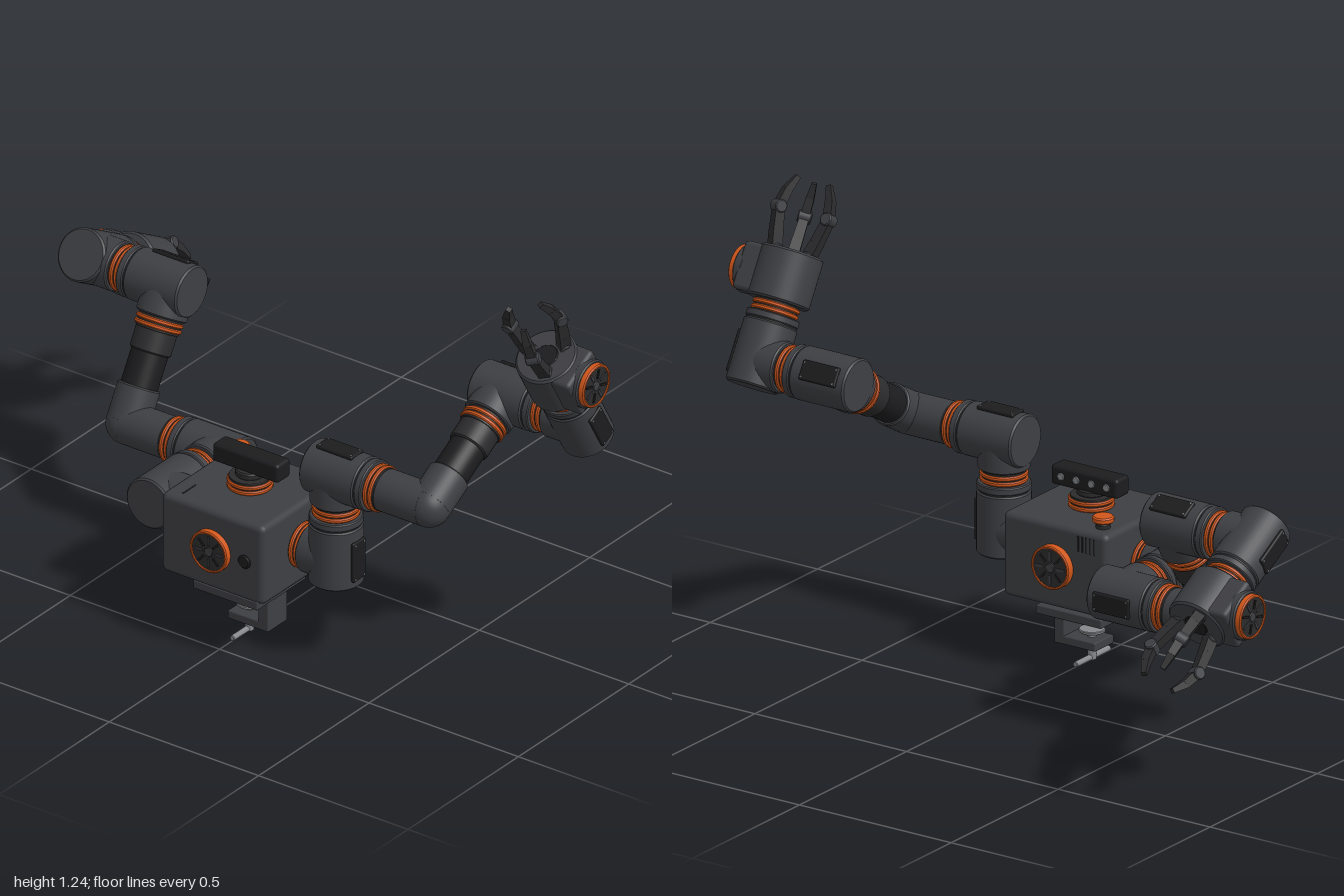
import * as THREE from 'three';
import { RoundedBoxGeometry } from 'three/addons/geometries/RoundedBoxGeometry.js';

const mat = (color) => new THREE.MeshStandardMaterial({ color });
const shell = mat(0x3e3f43), dark = mat(0x2b2b2d), black = mat(0x1c1c1e), orange = mat(0xd0561a), steel = mat(0x85878a);
const V = (x, y, z) => new THREE.Vector3(x, y, z);
const X = V(1, 0, 0), Y = V(0, 1, 0), Z = V(0, 0, 1);
const at = (p, d, s) => p.clone().addScaledVector(d, s);

function add(parent, name, geo, m, pos = V(0, 0, 0)) {
  const mesh = new THREE.Mesh(geo, m);
  mesh.name = name;
  mesh.position.copy(pos);
  parent.add(mesh);
  return mesh;
}

function box(parent, name, m, pos, w, h, d, r = 0.004) {
  return add(parent, name, new RoundedBoxGeometry(w, h, d, 2, r), m, pos);
}

// Lathed solid along dir; profile is [radius, distance] pairs
function turned(parent, name, m, p, dir, profile, sides = 40) {
  const pts = [];
  profile.forEach(([r, s], i) => {
    pts.push(new THREE.Vector2(r, s));
    // doubled points keep the corners crisp
    if (i > 0 && i < profile.length - 1) pts.push(new THREE.Vector2(r, s + 1e-6));
  });
  const mesh = add(parent, name, new THREE.LatheGeometry(pts, sides), m, p);
  mesh.quaternion.setFromUnitVectors(Y, dir);
  return mesh;
}

// Solid cylinder with a small chamfer from distance a to b
function rod(parent, name, m, p, dir, a, b, r, c = 0.004) {
  return turned(parent, name, m, p, dir, [[0, a], [r - c, a], [r, a + c], [r, b - c], [r - c, b], [0, b]]);
}

// Swivel coupling: dark core with two orange bands
function coupling(parent, p, dir, a, r = 0.066) {
  rod(parent, 'couplingCore', dark, p, dir, a - 0.002, a + 0.038, r - 0.005, 0.001);
  for (const s of [0.004, 0.02]) rod(parent, 'couplingBand', orange, p, dir, a + s, a + s + 0.012, r, 0.003);
}

// Round grille in an orange rim, rising from distance 0 to h
function grille(parent, p, dir, h, r = 0.062) {
  const g = new THREE.Group();
  g.name = 'grille';
  g.position.copy(p);
  g.quaternion.setFromUnitVectors(Y, dir);
  parent.add(g);
  const o = V(0, 0, 0);
  turned(g, 'grilleRim', orange, o, Y, [[r, 0], [r, h - 0.003], [r - 0.003, h], [r - 0.007, h], [r - 0.007, 0]]);
  rod(g, 'grilleDisc', dark, o, Y, 0, h - 0.004, r - 0.006, 0.001);
  rod(g, 'grilleHub', shell, o, Y, 0, h - 0.001, 0.014, 0.002);
  for (let i = 0; i < 8; i++) {
    const a = i * Math.PI / 4;
    const slot = add(g, 'grilleSlot', new THREE.BoxGeometry(0.026, 0.004, 0.007), i % 2 ? black : shell,
      V(Math.cos(a) * 0.034, h - 0.003, Math.sin(a) * 0.034));
    slot.rotation.y = -a;
  }
}

// Right-angle joint: stub facing the input, barrel along the output, service panel opposite the input
function joint(parent, name, p, input, output) {
  const g = new THREE.Group();
  g.name = name;
  g.position.copy(p);
  const side = new THREE.Vector3().crossVectors(input, output);
  g.quaternion.setFromRotationMatrix(new THREE.Matrix4().makeBasis(input, output, side));
  parent.add(g);
  const o = V(0, 0, 0);
  rod(g, 'jointBarrel', shell, o, Y, -0.072, 0.108, 0.075, 0.005);
  rod(g, 'jointLip', shell, o, Y, 0.111, 0.132, 0.074, 0.003);
  rod(g, 'jointSeam', dark, o, Y, 0.1, 0.12, 0.071, 0.001);
  rod(g, 'jointStub', shell, o, X, -0.088, 0, 0.0715, 0.004);
  box(g, 'servicePanel', black, V(0.074, 0.012, 0), 0.012, 0.12, 0.056, 0.005);
  for (const y of [-0.04, 0.064]) for (const z of [-0.02, 0.02])
    rod(g, 'panelScrew', steel, V(0.08, y, z), X, -0.002, 0.001, 0.003, 0.0005);
  coupling(parent, p, output, 0.13);
}

// Finger in the plane of +x, bending outward and back in
function finger(parent, angle) {
  const g = new THREE.Group();
  g.name = 'finger';
  g.rotation.y = angle;
  parent.add(g);
  const path = [[0.054, 0.3], [0.066, 0.345], [0.081, 0.415], [0.07, 0.465], [0.052, 0.505]];
  const size = [0.032, 0.03, 0.026, 0.023, 0.014];
  for (let i = 0; i < 4; i++) {
    const a = V(...path[i], 0), b = V(...path[i + 1], 0), d = b.clone().sub(a);
    const geo = new THREE.CylinderGeometry(size[i + 1] * 0.707, size[i] * 0.707, d.length() + 0.004, 4, 1);
    geo.rotateY(Math.PI / 4);
    const m = dark.clone();
    m.flatShading = true;
    const seg = add(g, 'fingerSegment', geo, m, a.add(b).multiplyScalar(0.5));
    seg.quaternion.setFromUnitVectors(Y, d.normalize());
  }
  for (const i of [0, 2]) rod(g, 'knuckle', shell, V(...path[i], 0), Z, -0.019, 0.019, 0.018, 0.003);
}

// Hand built along +y, with the grille facing +x
function hand(parent, p, dir) {
  const g = new THREE.Group();
  g.name = 'hand';
  g.position.copy(p);
  g.quaternion.setFromRotationMatrix(new THREE.Matrix4().makeBasis(X, dir, new THREE.Vector3().crossVectors(X, dir)));
  parent.add(g);
  const o = V(0, 0, 0);
  rod(g, 'palm', shell, o, Y, 0.166, 0.31, 0.088, 0.006);
  rod(g, 'palmPad', black, o, Y, 0.3, 0.313, 0.035, 0.002);
  box(g, 'grilleMount', shell, V(0.08, 0.238, 0), 0.07, 0.135, 0.135, 0.012);
  rod(g, 'grilleBase', shell, V(0, 0.238, 0), X, 0.1, 0.128, 0.069);
  grille(g, V(0.127, 0.238, 0), X, 0.018);
  for (const a of [Math.PI, Math.PI / 3, -Math.PI / 3]) finger(g, a);
}

// Arm chain, relative to the body centre, leaving along +x
function arm() {
  const g = new THREE.Group();
  const c30 = Math.sqrt(3) / 2;
  const linkDir = V(0, 0.5, -c30), handDir = V(0, c30, 0.5);
  const shoulder = V(0.288, 0, 0), upper = at(shoulder, Y, 0.258), bend = at(upper, X, 0.312);
  const elbow = at(bend, linkDir, 0.39), wrist = at(elbow, X, 0.255);
  coupling(g, V(0, 0, 0), X, 0.17);
  joint(g, 'shoulderJoint', shoulder, X, Y);
  joint(g, 'upperJoint', upper, Y, X);
  // bent forearm link
  rod(g, 'bendInlet', shell, upper, X, 0.165, 0.312, 0.06);
  add(g, 'bendCorner', new THREE.SphereGeometry(0.06, 40, 24), shell, bend);
  rod(g, 'bendOutlet', shell, bend, linkDir, 0, 0.105, 0.06);
  rod(g, 'linkTube', black, bend, linkDir, 0.1, 0.21, 0.052);
  rod(g, 'linkCollar', dark, bend, linkDir, 0.2, 0.266, 0.058);
  coupling(g, bend, linkDir, 0.264);
  joint(g, 'elbowJoint', elbow, linkDir, X);
  joint(g, 'wristJoint', wrist, X, handDir);
  hand(g, wrist, handDir);
  return g;
}

export function createModel() {
  const model = new THREE.Group();
  const c = V(0, 0.325, 0.362);

  // body
  const body = new THREE.Group();
  body.name = 'body';
  model.add(body);
  box(body, 'bodyShell', shell, c, 0.344, 0.242, 0.346, 0.018);
  grille(body, at(c, Z, 0.172), Z, 0.02);
  grille(body, at(c, Z, -0.172), V(0, 0, -1), 0.024);
  rod(body, 'frontPort', black, V(0.11, 0.325, 0.53), Z, 0, 0.012, 0.02);
  rod(body, 'buttonStem', dark, V(-0.123, 0.44, 0.243), Y, 0, 0.02, 0.02);
  rod(body, 'button', orange, V(-0.123, 0.44, 0.243), Y, 0.022, 0.04, 0.03);
  box(body, 'topSlot', black, V(-0.12, 0.445, 0.475), 0.006, 0.004, 0.06, 0.0015);
  for (let i = 0; i < 5; i++)
    box(body, 'rearVent', black, V(-0.13 + i * 0.013, 0.405, 0.19), 0.006, 0.045, 0.004, 0.0015);

  // sensor head, looking backward
  const head = new THREE.Group();
  head.name = 'sensorHead';
  model.add(head);
  coupling(head, V(0, 0.443, 0.362), Y, 0, 0.063);
  rod(head, 'headNeck', dark, V(0, 0.48, 0.362), Y, 0, 0.02, 0.04);
  box(head, 'headBar', black, V(0, 0.523, 0.356), 0.22, 0.056, 0.06, 0.01);
  for (const x of [-0.075, -0.025, 0.025, 0.075])
    rod(head, 'lens', steel, V(x, 0.523, 0.328), V(0, 0, -1), 0, 0.005, 0.011, 0.002);

  // table clamp
  const clamp = new THREE.Group();
  clamp.name = 'tableClamp';
  model.add(clamp);
  coupling(clamp, V(0, 0.206, 0.362), V(0, -1, 0), 0, 0.064);
  box(clamp, 'clampPlate', shell, V(0, 0.158, 0.365), 0.216, 0.026, 0.222);
  box(clamp, 'clampPost', shell, V(0.078, 0.1, 0.365), 0.034, 0.112, 0.088);
  box(clamp, 'clampArm', shell, V(0.027, 0.057, 0.365), 0.136, 0.025, 0.088);
  rod(clamp, 'clampScrew', steel, V(0, 0, 0.365), Y, 0.003, 0.09, 0.012, 0.002);
  rod(clamp, 'screwPad', steel, V(0, 0, 0.365), Y, 0.083, 0.092, 0.036, 0.002);
  rod(clamp, 'screwHandle', steel, V(0, 0.011, 0.365), Z, -0.079, 0.079, 0.008, 0.002);

  // the right arm is the left arm turned half round a diagonal axis
  const leftArm = arm(), rightArm = arm();
  leftArm.name = 'leftArm';
  rightArm.name = 'rightArm';
  leftArm.position.copy(c);
  rightArm.position.copy(c);
  rightArm.quaternion.setFromAxisAngle(V(0, 1, -1).normalize(), Math.PI);
  model.add(leftArm, rightArm);
  return model;
}
